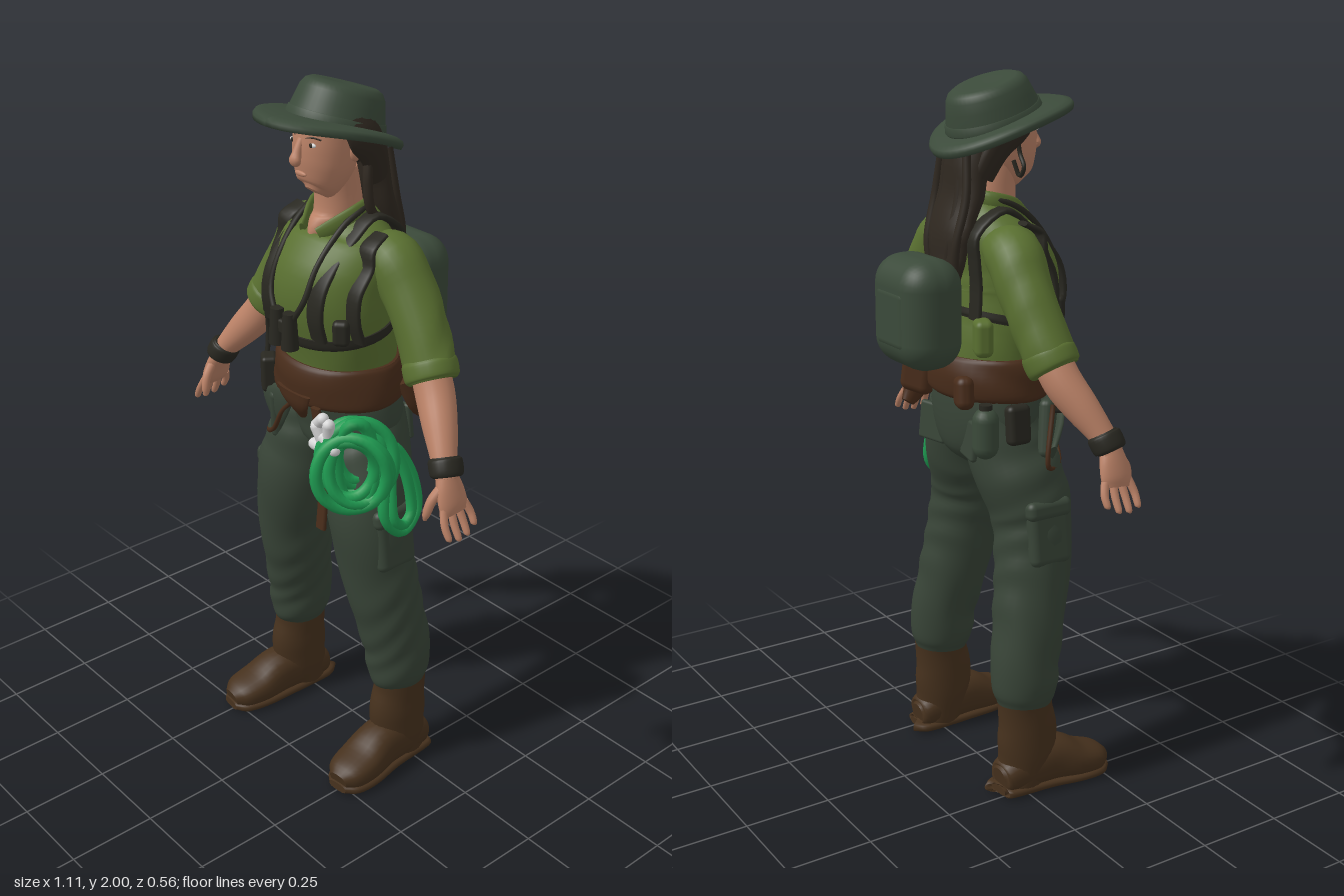
import * as THREE from 'three';
import { RoundedBoxGeometry } from 'three/addons/geometries/RoundedBoxGeometry.js';

const mat = (name, color) => Object.assign(new THREE.MeshStandardMaterial({ color }), { name });
const M = {
  skin: mat('skin', 0xba8166), hair: mat('hair', 0x2f2820), strap: mat('strap', 0x282720),
  shirt: mat('shirt', 0x596f30), trousers: mat('trousers', 0x384437), hat: mat('hat', 0x3b4a3a),
  boots: mat('boots', 0x46311d), belt: mat('belt', 0x482c1a), rope: mat('rope', 0x1f9c52),
  white: mat('white', 0xd6d6d6),
};
const AXES = { x: new THREE.Vector3(1, 0, 0), y: new THREE.Vector3(0, 1, 0), z: new THREE.Vector3(0, 0, 1) };

// Smooth body through rows [x, y, z, side radius, radius along ref]; fold adds cloth wrinkles
function loft(rows, { ref = 'z', n = 24, pow = 1, fold = 0, steps = 4 } = {}) {
  const path = new THREE.CatmullRomCurve3(rows.map(r => new THREE.Vector3(r[0], r[1], r[2])), false, 'catmullrom');
  const radii = new THREE.CatmullRomCurve3(rows.map(r => new THREE.Vector3(r[3], r[4], 0)), false, 'catmullrom');
  const pos = [], idx = [], total = (rows.length - 1) * steps;
  const bend = v => Math.sign(v) * Math.abs(v) ** pow;
  for (let i = 0; i <= total; i++) {
    const p = path.getPoint(i / total), t = path.getTangent(i / total), r = radii.getPoint(i / total);
    const B = AXES[ref].clone().addScaledVector(t, -t.dot(AXES[ref])).normalize();
    const S = B.clone().cross(t);
    for (let j = 0; j < n; j++) {
      const a = j / n * Math.PI * 2;
      const k = 1 + fold * Math.sin(p.y * 48 + 2.6 * Math.sin(a) + 3.5 * Math.cos(a + p.y * 9));
      const q = p.clone().addScaledVector(S, bend(Math.cos(a)) * Math.max(r.x, 0.001) * k)
        .addScaledVector(B, bend(Math.sin(a)) * Math.max(r.y, 0.001) * k);
      pos.push(q.x, q.y, q.z);
      if (i < total) {
        const c = i * n + j, d = i * n + (j + 1) % n;
        idx.push(c, d, d + n, c, d + n, c + n);
      }
    }
  }
  // end caps
  for (const end of [0, total]) {
    const base = pos.length / 3, p = path.getPoint(end / total);
    for (let j = 0; j < n; j++) pos.push(...pos.slice((end * n + j) * 3, (end * n + j) * 3 + 3));
    pos.push(p.x, p.y, p.z);
    for (let j = 0; j < n; j++) {
      const c = base + j, d = base + (j + 1) % n;
      idx.push(base + n, end ? c : d, end ? d : c);
    }
  }
  const g = new THREE.BufferGeometry();
  g.setAttribute('position', new THREE.Float32BufferAttribute(pos, 3));
  g.setIndex(idx);
  g.computeVertexNormals();
  return g;
}
const upright = rows => rows.map(([y, z, a, b]) => [0, y, z, a, b]);
const tube = (pts, r, closed = false, seg = 32) =>
  new THREE.TubeGeometry(new THREE.CatmullRomCurve3(pts.map(p => new THREE.Vector3(...p)), closed), seg, r, 8, closed);

const SHIRT = [[1.16, 0.04, 0.165, 0.14], [1.25, 0.045, 0.17, 0.145], [1.33, 0.06, 0.178, 0.145],
  [1.43, 0.075, 0.185, 0.15], [1.5, 0.06, 0.188, 0.14], [1.57, 0.03, 0.175, 0.11],
  [1.62, 0.025, 0.125, 0.085], [1.66, 0.03, 0.066, 0.062]];
// Depth of the shirt surface at x, y, on the front (1) or back (-1)
function shirtZ(x, y, side) {
  const i = Math.max(1, SHIRT.findIndex(r => r[0] >= y)), a = SHIRT[i - 1], b = SHIRT[i];
  const t = (y - a[0]) / (b[0] - a[0]), L = k => a[k] + (b[k] - a[k]) * t;
  return L(1) + side * (L(3) * Math.sqrt(Math.max(0.12, 1 - (x / L(2)) ** 2)) + 0.008);
}

export function createModel() {
  const root = new THREE.Group();
  const add = (name, geo, m, p = [0, 0, 0], r = [0, 0, 0], parent = root) => {
    const o = new THREE.Mesh(geo, m);
    o.name = name; o.position.set(...p); o.rotation.set(...r);
    parent.add(o);
    return o;
  };
  const box = (w, h, d, r) => new RoundedBoxGeometry(w, h, d, 4, r);
  const ball = (name, m, p, s) => add(name, new THREE.SphereGeometry(1, 20, 14), m, p).scale.set(...s);

  // Torso and hips
  add('shirt', loft(upright(SHIRT), { n: 40, fold: 0.008 }), M.shirt);
  add('hips', loft(upright([[0.94, 0.035, 0.06, 0.07], [0.985, 0.03, 0.14, 0.115], [1.05, 0.025, 0.187, 0.128],
    [1.12, 0.03, 0.187, 0.135], [1.18, 0.04, 0.17, 0.138]]), { n: 36 }), M.trousers);
  add('wideBelt', loft(upright([[1.135, 0.045, 0.186, 0.155], [1.15, 0.045, 0.196, 0.166], [1.2, 0.045, 0.194, 0.167],
    [1.24, 0.045, 0.186, 0.16], [1.252, 0.045, 0.178, 0.15]]), { n: 40, fold: 0.012 }), M.belt);
  add('beltTongue', loft([[0, 1.17, 0.207, 0.07, 0.01], [0, 1.13, 0.2, 0.05, 0.012], [-0.005, 1.085, 0.172, 0.015, 0.01]], { n: 16 }), M.belt);
  add('chestBand', loft(upright([[1.335, 0.06, 0.182, 0.148], [1.345, 0.062, 0.185, 0.152], [1.362, 0.065, 0.185, 0.152]]),
    { n: 40 }), M.strap);

  // Head, neck and face
  add('neck', loft(upright([[1.56, 0.06, 0.02, 0.088], [1.6, 0.055, 0.045, 0.09], [1.64, 0.047, 0.061, 0.07],
    [1.7, 0.05, 0.06, 0.062], [1.76, 0.06, 0.06, 0.058]])), M.skin);
  add('head', loft(upright([[1.706, 0.125, 0.028, 0.028], [1.72, 0.115, 0.055, 0.055], [1.76, 0.1, 0.074, 0.077],
    [1.8, 0.09, 0.081, 0.087], [1.85, 0.083, 0.083, 0.09], [1.895, 0.075, 0.08, 0.084], [1.92, 0.06, 0.05, 0.055]]),
    { n: 32 }), M.skin);
  add('nose', loft([[0, 1.855, 0.168, 0.009, 0.007], [0, 1.82, 0.181, 0.012, 0.012], [0, 1.8, 0.188, 0.018, 0.014],
    [0, 1.79, 0.178, 0.008, 0.008]], { n: 14 }), M.skin);
  ball('lips', M.skin, [0, 1.764, 0.171], [0.022, 0.007, 0.006]);
  for (const s of [-1, 1]) {
    ball('eye', M.white, [s * 0.036, 1.843, 0.162], [0.014, 0.006, 0.005]);
    ball('pupil', M.hair, [s * 0.036, 1.843, 0.166], [0.006, 0.006, 0.003]);
    add('eyebrow', tube([[s * 0.018, 1.858, 0.168], [s * 0.038, 1.862, 0.161], [s * 0.056, 1.857, 0.148]], 0.0025), M.hair);
    ball('ear', M.skin, [s * 0.082, 1.82, 0.06], [0.012, 0.028, 0.018]);
    add('sideHair', loft([[s * 0.085, 1.905, 0.06, 0.022, 0.055], [s * 0.104, 1.86, 0.05, 0.022, 0.05],
      [s * 0.09, 1.8, 0.005, 0.022, 0.04], [s * 0.068, 1.73, -0.025, 0.02, 0.035]], { n: 14 }), M.hair);
    // Shirt collar
    add('collar', loft([[0, 1.672, -0.035, 0.01, 0.022], [s * 0.066, 1.667, 0.0, 0.01, 0.024],
      [s * 0.074, 1.645, 0.07, 0.01, 0.025], [s * 0.032, 1.602, 0.142, 0.008, 0.02]], { ref: 'y', n: 14 }), M.shirt);
  }
  add('hairLock', tube([[0.085, 1.8, 0.02], [0.095, 1.73, 0.03], [0.097, 1.66, 0.02], [0.075, 1.56, -0.08]], 0.013), M.hair);
  ball('hairCap', M.hair, [0, 1.845, 0.035], [0.094, 0.085, 0.092]);
  add('longHair', loft([[0, 1.87, -0.02, 0.075, 0.045], [0, 1.77, -0.035, 0.088, 0.052], [0, 1.68, -0.05, 0.09, 0.045],
    [0, 1.58, -0.085, 0.09, 0.036], [0, 1.5, -0.095, 0.075, 0.03], [0, 1.4, -0.1, 0.045, 0.02]], { n: 28, fold: 0.03 }), M.hair);
  for (let i = -2; i <= 2; i++) add('hairStrand', tube([[i * 0.03, 1.8, -0.07], [i * 0.038, 1.68, -0.082],
    [i * 0.036, 1.56, -0.11], [i * 0.03, 1.47, -0.108]], 0.012), M.hair);

  // Tilted hat with a shaped brim and a soft crown
  const hat = new THREE.Group();
  hat.name = 'hat'; hat.position.set(-0.006, 1.868, 0.07); hat.rotation.x = -0.31; root.add(hat);
  const lathe = pts => new THREE.LatheGeometry(pts.map(p => new THREE.Vector2(...p)), 48);
  const brim = lathe([[0.08, -0.004], [0.12, -0.006], [0.165, -0.018], [0.177, -0.026], [0.18, -0.014],
    [0.176, -0.005], [0.16, 0.003], [0.12, 0.01], [0.08, 0.016]]);
  const bp = brim.attributes.position;
  for (let i = 0; i < bp.count; i++) {
    const x = bp.getX(i), z = bp.getZ(i);
    bp.setXYZ(i, x, bp.getY(i) + 0.6 * x * x - 0.1 * z * z, z * 1.15);
  }
  brim.computeVertexNormals();
  add('hatBrim', brim, M.hat, [0, 0, 0], [0, 0, 0], hat);
  const crown = new THREE.Group();
  crown.name = 'crown'; crown.position.z = -0.018; crown.scale.z = 1.1; hat.add(crown);
  add('hatCrown', lathe([[0.124, 0], [0.118, 0.03], [0.111, 0.06], [0.104, 0.088], [0.095, 0.103], [0.08, 0.111],
    [0.04, 0.11], [0, 0.107]]), M.hat, [0, 0, 0], [0, 0, 0], crown);
  add('hatBand', lathe([[0.123, 0.006], [0.125, 0.01], [0.121, 0.03], [0.115, 0.032]]), M.hat, [0, 0, 0], [0, 0, 0], crown);
  add('hatCord', tube([[-0.1, 1.86, 0.06], [-0.1, 1.79, 0.07], [-0.12, 1.755, 0.07], [-0.1, 1.73, 0.07], [-0.085, 1.77, 0.06]], 0.006), M.strap);

  for (const s of [-1, 1]) {
    const side = rows => rows.map(([x, ...rest]) => [s * x, ...rest]);
    // Arm, rolled sleeve and wristband
    add('sleeve', loft(side([[0.1, 1.555, 0.01, 0.05, 0.06], [0.165, 1.54, 0.005, 0.075, 0.078], [0.22, 1.475, 0, 0.075, 0.073],
      [0.28, 1.38, 0.005, 0.072, 0.07], [0.325, 1.3, 0.015, 0.072, 0.068], [0.34, 1.275, 0.02, 0.068, 0.065]]), { fold: 0.025 }), M.shirt);
    add('sleeveCuff', loft(side([[0.315, 1.315, 0.013, 0.07, 0.066], [0.322, 1.302, 0.015, 0.076, 0.072],
      [0.338, 1.274, 0.02, 0.075, 0.071], [0.344, 1.264, 0.022, 0.066, 0.063]])), M.shirt);
    add('forearm', loft(side([[0.31, 1.32, 0.015, 0.05, 0.05], [0.36, 1.24, 0.03, 0.053, 0.052], [0.41, 1.175, 0.058, 0.047, 0.046],
      [0.46, 1.11, 0.088, 0.033, 0.036], [0.488, 1.065, 0.1, 0.025, 0.034]])), M.skin);
    add('wristband', loft(side([[0.462, 1.115, 0.088, 0.035, 0.038], [0.466, 1.107, 0.09, 0.043, 0.046],
      [0.482, 1.079, 0.098, 0.042, 0.045], [0.486, 1.071, 0.1, 0.033, 0.036]])), M.strap);
    add('palm', loft(side([[0.482, 1.075, 0.1, 0.024, 0.032], [0.497, 1.04, 0.1, 0.022, 0.043], [0.51, 1.005, 0.1, 0.019, 0.047],
      [0.518, 0.983, 0.098, 0.012, 0.042]]), { n: 18 }), M.skin);
    for (let f = 0; f < 4; f++) {
      const z = 0.135 - f * 0.024, len = [0.9, 1, 0.95, 0.75][f], dz = (0.1 - z) * -0.3;
      add('finger', loft(side([[0.512, 1.0, z, 0.01, 0.012], [0.512 + 0.018 * len, 1 - 0.04 * len, z + dz, 0.01, 0.011],
        [0.512 + 0.036 * len, 1 - 0.074 * len, z + dz, 0.009, 0.009], [0.512 + 0.038 * len, 1 - 0.08 * len, z + dz, 0.004, 0.004]]), { n: 10 }), M.skin);
    }
    add('thumb', loft(side([[0.49, 1.05, 0.125, 0.014, 0.014], [0.483, 1.02, 0.15, 0.013, 0.013], [0.478, 0.985, 0.162, 0.011, 0.011],
      [0.474, 0.965, 0.164, 0.005, 0.005]]), { n: 10 }), M.skin);

    // Trouser leg with cargo pocket
    add('trouserLeg', loft(side([[0.085, 1.1, 0.02, 0.09, 0.11], [0.105, 1.0, 0.035, 0.107, 0.12], [0.137, 0.9, 0.058, 0.12, 0.122],
      [0.16, 0.8, 0.078, 0.113, 0.113], [0.182, 0.67, 0.067, 0.104, 0.108], [0.201, 0.53, 0.045, 0.098, 0.104],
      [0.219, 0.4, 0.022, 0.088, 0.1], [0.225, 0.31, 0.016, 0.083, 0.096], [0.227, 0.27, 0.012, 0.068, 0.08]]),
      { n: 32, fold: 0.022, steps: 8 }), M.trousers);
    add('cargoPocket', box(0.05, 0.17, 0.13, 0.022), M.trousers, [s * 0.251, 0.77, 0.07], [0, 0, s * 0.13]);
    add('pocketFlap', box(0.056, 0.055, 0.14, 0.02), M.trousers, [s * 0.246, 0.845, 0.07], [0, 0, s * 0.13]);
    add('backPocket', box(0.1, 0.11, 0.02, 0.009), M.trousers, [s * 0.095, 1.03, -0.083], [0.1, s * 0.25, 0]);

    // Boot
    add('bootShaft', loft(side([[0.23, 0.02, 0.005, 0.06, 0.072], [0.23, 0.1, 0.02, 0.067, 0.086], [0.23, 0.18, 0.023, 0.066, 0.09],
      [0.23, 0.25, 0.017, 0.063, 0.083], [0.23, 0.295, 0.015, 0.066, 0.083]]), { fold: 0.014 }), M.boots);
    add('bootFoot', loft(side([[0.23, 0.05, -0.07, 0.03, 0.03], [0.23, 0.052, -0.055, 0.052, 0.045], [0.233, 0.07, 0.02, 0.062, 0.066],
      [0.238, 0.074, 0.1, 0.064, 0.07], [0.246, 0.055, 0.175, 0.07, 0.051], [0.252, 0.044, 0.24, 0.061, 0.04],
      [0.255, 0.037, 0.272, 0.032, 0.024]]), { ref: 'y', pow: 0.85 }), M.boots);
    add('bootSole', loft(side([[0.23, 0.016, -0.074, 0.035, 0.012], [0.23, 0.016, -0.055, 0.058, 0.016], [0.236, 0.016, 0.08, 0.064, 0.016],
      [0.247, 0.016, 0.18, 0.072, 0.016], [0.253, 0.016, 0.245, 0.062, 0.016], [0.256, 0.017, 0.276, 0.032, 0.012]]),
      { ref: 'y', pow: 0.7 }), M.boots);

    // Harness: an inner strap over each shoulder and a ragged outer panel on the chest
    const front = (x, w) => [1.345, 1.41, 1.48, 1.54].map(y => [s * x, y, shirtZ(x, y, 1), 0.01, w]);
    add('harnessStrap', loft([...front(0.095, 0.03), [s * 0.097, 1.6, 0.09, 0.009, 0.028], [s * 0.1, 1.645, 0.015, 0.009, 0.026],
      [s * 0.1, 1.59, -0.07, 0.009, 0.026],
      ...[1.52, 1.45, 1.36].map(y => [s * 0.1, y, shirtZ(0.1, y, -1) - 0.004, 0.009, 0.026])], { ref: 'x', n: 14, pow: 0.7 }), M.strap);
    const w = s > 0 ? 0.032 : 0.018, x = s > 0 ? 0.166 : 0.178;
    add('chestPanel', loft([...front(x, w), [s * 0.165, 1.59, 0.088, 0.009, 0.028], [s * 0.16, 1.617, 0.04, 0.007, 0.024]],
      { ref: 'x', n: 14, pow: 0.7 }), M.strap);
    add('vestPouch', box(0.045, 0.07, 0.035, 0.014), M.strap, [s * 0.15, 1.375, 0.166], [0, s * 0.7, 0]);
    add('backPouch', box(0.07, 0.1, 0.05, 0.018), M.shirt, [s * 0.14, 1.32, -0.07], [0, s * 0.4, 0]);
    // Binoculars with neck strap
    add('binocularStrap', tube([[0, 1.672, -0.048], [s * 0.078, 1.668, 0.02], [s * 0.082, 1.63, 0.1], [s * 0.076, 1.54, 0.182],
      [s * 0.068, 1.45, 0.222], [s * 0.032, 1.385, 0.236]], 0.008), M.strap);
    add('binocularTube', new THREE.CylinderGeometry(0.018, 0.024, 0.1, 18), M.strap, [s * 0.026, 1.36, 0.236]);
  }
  add('binocularBridge', box(0.04, 0.04, 0.024, 0.008), M.strap, [0, 1.365, 0.235]);
  // Brown hip pouches behind
  add('leftHipPouch', box(0.1, 0.12, 0.06, 0.025), M.belt, [0.135, 1.17, -0.105], [0, 0.5, 0.15]);
  add('rightHipPouch', box(0.08, 0.09, 0.05, 0.022), M.belt, [-0.1, 1.165, -0.105], [0, -0.4, -0.15]);

  // Backpack
  add('backpack', box(0.26, 0.3, 0.18, 0.078), M.hat, [0, 1.38, -0.185]);
  add('backpackPocket', box(0.15, 0.17, 0.05, 0.024), M.hat, [0, 1.37, -0.252]);

  // Right hip: radio, holster, canteen
  add('radio', box(0.062, 0.105, 0.045, 0.012), M.strap, [-0.18, 1.145, 0.15], [0, -0.6, 0]);
  add('radioAntenna', tube([[-0.2, 1.18, 0.14], [-0.205, 1.27, 0.13], [-0.19, 1.36, 0.15]], 0.007), M.strap);
  add('holster', box(0.15, 0.16, 0.04, 0.018), M.trousers, [-0.17, 1.05, 0.125], [0, -0.75, -0.2]);
  add('holsterFlap', loft([[-0.225, 0.985, 0.09, 0.045, 0.012], [-0.16, 1.04, 0.155, 0.06, 0.012], [-0.09, 1.1, 0.18, 0.045, 0.012],
    [-0.04, 1.14, 0.185, 0.02, 0.01]], { n: 16 }), M.trousers);
  add('holsterTrim', tube([[-0.225, 1.13, 0.1], [-0.25, 0.965, 0.07], [-0.2, 0.955, 0.14], [-0.13, 0.995, 0.176],
    [-0.08, 1.07, 0.185], [-0.03, 1.12, 0.19]], 0.007), M.belt);
  add('sidePouch', box(0.04, 0.11, 0.07, 0.016), M.strap, [-0.205, 1.085, 0.0], [0, 0, -0.1]);
  add('canteen', new THREE.CapsuleGeometry(0.036, 0.07, 6, 18), M.hat, [-0.185, 1.07, -0.09]);
  add('canteenCap', new THREE.CylinderGeometry(0.018, 0.018, 0.03, 14), M.strap, [-0.185, 1.135, -0.09]);

  // Left hip: hanging strap, sheath, rope coil and clip
  add('hangingStrap', loft([[0.09, 1.15, 0.205, 0.017, 0.007], [0.105, 1.0, 0.19, 0.017, 0.007], [0.113, 0.9, 0.2, 0.017, 0.007],
    [0.116, 0.795, 0.212, 0.018, 0.007]], { n: 12, pow: 0.6 }), M.belt);
  add('sheath', loft([[0.175, 1.2, -0.05, 0.03, 0.045], [0.19, 1.12, -0.08, 0.025, 0.04], [0.185, 1.07, -0.115, 0.015, 0.02]]), M.belt);
  for (let k = 0; k < 8; k++) {
    const pts = [], w = 0.045 + 0.013 * (k % 4), h = 0.085 + 0.011 * (k % 5);
    for (let i = 0; i < 10; i++) {
      const a = i / 10 * Math.PI * 2, u = Math.cos(a) * w + 0.012 * Math.sin(k * 2.3), n = (k - 3.5) * 0.008 + 0.01 * Math.sin(a * 2 + k);
      pts.push([0.2 + 0.75 * u + 0.65 * n, 1.035 + Math.sin(a) * h - 0.006 * k, 0.162 - 0.85 * u + 0.7 * n]);
    }
    add('ropeCoil', tube(pts, 0.017, true, 40), M.rope);
  }
  for (const k of [0, 1]) add('ropeLoop', tube([[0.24, 1.05, 0.07], [0.262, 0.95, 0.11 - k * 0.02], [0.272 + k * 0.01, 0.85, 0.115 - k * 0.02],
    [0.28, 0.802 + k * 0.02, 0.06], [0.276, 0.85, 0.008 + k * 0.02], [0.262, 0.96, 0.015 + k * 0.02]], 0.016, true, 40), M.rope);
  for (let k = 0; k < 5; k++) add('ropeClip', new THREE.CapsuleGeometry(0.017, 0.045, 4, 12), M.white,
    [0.128 + (k % 2) * 0.032, 1.13 - k * 0.018, 0.222 - (k % 2) * 0.004], [0.2, 0, k * 0.6 - 0.8]);
  return root;
}
